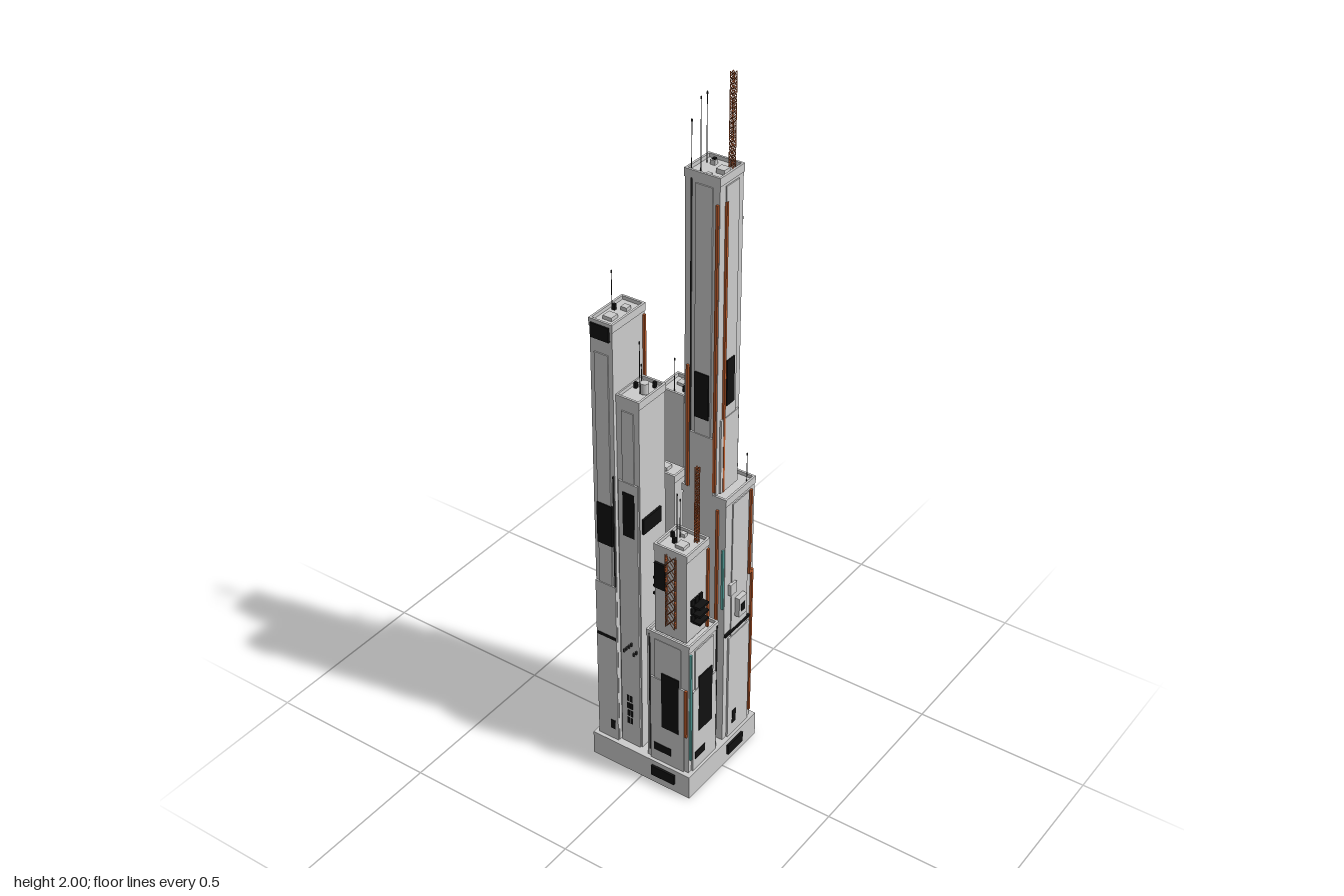
import * as THREE from 'three';
import { mergeGeometries } from 'three/addons/utils/BufferGeometryUtils.js';

const mat = (color) => new THREE.MeshStandardMaterial({ color, flatShading: true });
const GREY = mat(0xcccccc), BLACK = mat(0x111111), DARK = mat(0x333333), ORANGE = mat(0xb8592a), TEAL = mat(0x5fb5ae);

// Footprints as [x0, x1, z0, z1] with bottom and top heights
const T = {
  base: { f: [-0.163, 0.157, -0.161, 0.159], y0: 0, y1: 0.075 },
  tallLower: { f: [0.011, 0.144, -0.147, -0.016], y0: 0.075, y1: 0.88 },
  tallUpper: { f: [0.015, 0.113, -0.114, -0.017], y0: 0.88, y1: 1.77 },
  backLower: { f: [-0.15, -0.015, -0.147, -0.016], y0: 0.075, y1: 0.89 },
  backUpper: { f: [-0.094, -0.018, -0.143, -0.06], y0: 0.89, y1: 1.11 },
  slimTall: { f: [-0.152, -0.085, 0.011, 0.143], y0: 0.075, y1: 1.39 },
  slimShort: { f: [-0.085, -0.016, 0.023, 0.132], y0: 0.075, y1: 1.19 },
  lowLower: { f: [0.011, 0.144, 0.013, 0.144], y0: 0.075, y1: 0.51 },
  lowUpper: { f: [0.031, 0.13, 0.038, 0.136], y0: 0.51, y1: 0.79 },
};

export function createModel() {
  const city = new THREE.Group();
  city.name = 'towerCluster';

  const add = (name, geo, m) => {
    const mesh = new THREE.Mesh(geo, m);
    mesh.name = name;
    city.add(mesh);
    return mesh;
  };
  const boxGeo = (x0, x1, y0, y1, z0, z1) =>
    new THREE.BoxGeometry(x1 - x0, y1 - y0, z1 - z0).translate((x0 + x1) / 2, (y0 + y1) / 2, (z0 + z1) / 2);
  const box = (name, m, ...b) => add(name, boxGeo(...b), m);

  // Bar between two points
  const bar = (a, b, r) => {
    const d = b.clone().sub(a);
    const g = new THREE.CylinderGeometry(r, r, d.length(), 4);
    g.applyQuaternion(new THREE.Quaternion().setFromUnitVectors(new THREE.Vector3(0, 1, 0), d.normalize()));
    return g.translate((a.x + b.x) / 2, (a.y + b.y) / 2, (a.z + b.z) / 2);
  };

  // Box lying on a wall: u is x on the front and back, z on the sides
  const onWall = (name, t, side, u0, u1, y0, y1, depth, m, off = 0) => {
    const [x0, x1, z0, z1] = T[t].f;
    const s = -0.002;
    if (side === 'front') return box(name, m, u0, u1, y0, y1, z1 + off + s, z1 + off + depth);
    if (side === 'back') return box(name, m, u0, u1, y0, y1, z0 - off - depth, z0 - off - s);
    if (side === 'right') return box(name, m, x1 + off + s, x1 + off + depth, y0, y1, u0, u1);
    return box(name, m, x0 - off - depth, x0 - off - s, y0, y1, u0, u1);
  };

  // Square lattice with four legs and crossed braces
  const lattice = (name, x, z, y0, y1, w, d = w) => {
    const parts = [], n = Math.round((y1 - y0) / (w * 1.1)), h = (y1 - y0) / n;
    const c = [[-1, -1], [1, -1], [1, 1], [-1, 1]].map(([i, k]) => [x + i * w / 2, z + k * d / 2]);
    const P = (i, y) => new THREE.Vector3(c[i % 4][0], y, c[i % 4][1]);
    for (let i = 0; i < 4; i++) {
      parts.push(bar(P(i, y0), P(i, y1), 0.0011));
      for (let j = 0; j < n; j++) {
        const a = y0 + j * h;
        parts.push(bar(P(i, a), P(i + 1, a + h), 0.0008), bar(P(i + 1, a), P(i, a + h), 0.0008));
      }
    }
    add(name, mergeGeometries(parts), ORANGE);
  };

  // Tower bodies with raised roof rims
  for (const [name, { f: [x0, x1, z0, z1], y0, y1 }] of Object.entries(T)) {
    box(name + 'Body', GREY, x0, x1, y0, name === 'base' ? y1 : y1 - 0.01, z0, z1);
    if (name === 'base') continue;
    const o = 0.002, w = 0.004;
    add(name + 'RoofRim', mergeGeometries([
      boxGeo(x0 - o, x1 + o, y1 - 0.022, y1, z0 - o, z0 + w), boxGeo(x0 - o, x1 + o, y1 - 0.022, y1, z1 - w, z1 + o),
      boxGeo(x0 - o, x0 + w, y1 - 0.022, y1, z0 + w, z1 - w), boxGeo(x1 - w, x1 + o, y1 - 0.022, y1, z0 + w, z1 - w),
    ]), GREY);
  }

  // Stepped wall plates: wide foot, narrower shaft above
  const plates = [
    ['tallLower', 'right', -0.125, -0.04, 0.42, 0.85], ['tallLower', 'back', 0.035, 0.12, 0.4, 0.85],
    ['backLower', 'left', -0.125, -0.04, 0.42, 0.85], ['backLower', 'back', -0.13, -0.035, 0.45, 0.86],
    ['lowLower', 'right', 0.03, 0.125, 0.35, 0.48], ['lowLower', 'front', 0.03, 0.125, 0.36, 0.49],
    ['slimTall', 'left', 0.03, 0.12, 0.58, 1.33], ['slimTall', 'front', -0.145, -0.092, 0.6, 1.3],
    ['slimShort', 'front', -0.074, -0.026, 0.94, 1.15], ['tallUpper', 'front', 0.04, 0.1, 1.05, 1.74],
    ['tallUpper', 'right', -0.1, -0.035, 1.1, 1.74], ['tallUpper', 'left', -0.1, -0.03, 1.1, 1.74],
  ];
  for (const [t, side, a, b, mid, top] of plates) {
    onWall('wallPlateFoot', t, side, a - 0.006, b + 0.006, T[t].y0, mid, 0.005, GREY);
    onWall('wallPlateShaft', t, side, a + 0.006, b - 0.006, mid, top, 0.003, GREY);
  }

  // Black window panels and signs
  const panels = [
    ['base', 'front', 0.035, 0.11, 0.028, 0.06], ['base', 'right', -0.09, -0.02, 0.028, 0.06],
    ['base', 'back', -0.07, 0.0, 0.028, 0.06], ['base', 'left', 0.0, 0.07, 0.028, 0.06],
    ['slimTall', 'front', -0.147, -0.092, 1.34, 1.38], ['slimTall', 'front', -0.14, -0.093, 0.73, 0.855],
    ['slimTall', 'front', -0.147, -0.088, 0.423, 0.432], ['slimTall', 'front', -0.11, -0.095, 0.11, 0.14],
    ['slimShort', 'front', -0.066, -0.03, 0.775, 0.91], ['slimShort', 'right', 0.048, 0.125, 0.79, 0.835],
    ['tallUpper', 'front', 0.048, 0.09, 1.1, 1.23], ['tallUpper', 'right', -0.082, -0.05, 1.135, 1.265],
    ['tallUpper', 'back', 0.02, 0.045, 1.36, 1.46], ['tallUpper', 'left', -0.1, -0.05, 1.08, 1.27],
    ['tallUpper', 'back', 0.02, 0.11, 1.62, 1.628], ['tallLower', 'right', -0.13, -0.016, 0.435, 0.443],
    ['tallLower', 'right', -0.072, -0.055, 0.11, 0.155], ['tallLower', 'back', 0.06, 0.11, 0.3, 0.48],
    ['tallLower', 'back', 0.06, 0.1, 0.11, 0.135], ['backLower', 'left', -0.1, -0.06, 0.36, 0.54],
    ['backLower', 'left', -0.1, -0.06, 0.11, 0.135], ['backLower', 'back', -0.1, -0.055, 0.62, 0.72],
    ['backUpper', 'right', -0.135, -0.108, 0.97, 1.03], ['backUpper', 'left', -0.13, -0.075, 0.96, 1.06],
    ['lowUpper', 'front', 0.033, 0.067, 0.655, 0.735], ['lowLower', 'front', 0.06, 0.115, 0.2, 0.385],
    ['lowLower', 'front', 0.035, 0.09, 0.11, 0.135], ['lowLower', 'right', 0.045, 0.105, 0.2, 0.385],
    ['lowLower', 'right', 0.075, 0.12, 0.11, 0.135],
  ];
  for (const [t, s, a, b, y0, y1] of panels) onWall('windowPanel', t, s, a, b, y0, y1, 0.0065, BLACK);
  for (let i = 0; i < 4; i++)
    for (const u of [-0.062, -0.052])
      onWall('smallWindow', 'slimShort', 'front', u, u + 0.008, 0.145 + i * 0.026, 0.165 + i * 0.026, 0.006, BLACK);
  for (let i = 0; i < 3; i++)
    for (let j = 0; j < 3; j++)
      onWall('ventGrille', 'lowUpper', 'right', 0.07 + j * 0.018, 0.083 + j * 0.018, 0.57 + i * 0.025, 0.588 + i * 0.025, 0.005, BLACK);

  // Wall pipes, with a sideways jog where a middle height is given
  const pipes = [
    ['tallLower', 'back', 0.02, 0.1, 0.86, 0.5], ['tallLower', 'back', 0.135, 0.09, 0.87, 0.62], ['backLower', 'left', -0.03, 0.1, 0.85, 0.45],
    ['backLower', 'back', -0.025, 0.1, 0.84, 0.55], ['slimTall', 'left', 0.016, 0.1, 1.36], ['slimTall', 'left', 0.128, 0.3, 1.36],
    ['slimTall', 'right', 0.016, 0.9, 1.36], ['slimTall', 'back', -0.146, 0.3, 1.3], ['tallUpper', 'front', 0.026, 0.88, 1.24],
    ['tallUpper', 'front', 0.108, 0.89, 1.7], ['tallUpper', 'right', -0.042, 0.88, 1.7], ['tallLower', 'front', 0.12, 0.15, 0.84],
    ['lowLower', 'front', 0.137, 0.2, 0.36], ['lowUpper', 'back', 0.1, 0.51, 0.77], ['lowUpper', 'right', 0.045, 0.51, 0.76],
    ['tallLower', 'right', -0.14, 0.1, 0.85, 0.58],
  ];
  for (const [t, s, u, y0, y1, mid] of pipes) {
    const w = 0.0035, jog = mid ? 0.012 * Math.sign((s === 'left' || s === 'right' ? -0.08 : T[t].f[0] + 0.067) - u) : 0;
    const m = mid || y1;
    onWall('pipe', t, s, u - w, u + w, y0, m, 0.006, ORANGE);
    if (!mid) continue;
    onWall('pipe', t, s, Math.min(u, u + jog) - w, Math.max(u, u + jog) + w, m, m + 0.008, 0.006, ORANGE);
    onWall('pipe', t, s, u + jog - w, u + jog + w, m + 0.008, y1, 0.006, ORANGE);
  }
  onWall('tealPipe', 'tallLower', 'front', 0.136, 0.142, 0.53, 0.72, 0.006, TEAL);
  onWall('tealPipe', 'lowLower', 'right', 0.136, 0.142, 0.12, 0.48, 0.006, TEAL);
  box('crossDuct', ORANGE, -0.045, 0.015, 0.56, 0.575, -0.156, -0.145);
  // Thin dark cables running up the walls
  for (const [t, s, u, y0, y1] of [['tallUpper', 'front', 0.034, 0.9, 1.75], ['slimShort', 'front', -0.022, 0.1, 0.94],
    ['slimTall', 'front', -0.089, 0.1, 0.95], ['backLower', 'left', -0.13, 0.1, 0.85], ['lowLower', 'front', 0.02, 0.1, 0.5],
    ['tallUpper', 'left', -0.024, 0.9, 1.74], ['lowLower', 'right', 0.02, 0.1, 0.5]])
    onWall('cable', t, s, u - 0.001, u + 0.001, y0, y1, 0.004, DARK);

  // Balconies and machine boxes hung on the walls
  onWall('equipmentPod', 'tallLower', 'right', -0.098, -0.062, 0.48, 0.54, 0.017, GREY);
  onWall('podWindow', 'tallLower', 'right', -0.088, -0.07, 0.495, 0.52, 0.018, BLACK);
  onWall('equipmentPod', 'tallLower', 'right', -0.06, -0.033, 0.565, 0.6, 0.009, GREY);
  for (const y of [0.56, 0.585, 0.61]) onWall('balcony', 'lowUpper', 'right', 0.07, 0.11, y, y + 0.007, 0.024, BLACK);
  for (const y of [0.6, 0.625, 0.65]) onWall('balcony', 'lowUpper', 'left', 0.07, 0.11, y, y + 0.007, 0.024, BLACK);
  for (let i = 0; i < 6; i++)
    onWall('wallFitting', 'slimShort', 'front', -0.07 + i * 0.008, -0.066 + i * 0.008, 0.39 + (i * 5 % 4) * 0.01, 0.4 + (i * 5 % 4) * 0.01, 0.01, DARK);

  // Lattice masts on roofs and lattice trusses on walls
  lattice('tallMast', 0.093, -0.095, 1.76, 2.0, 0.011);
  lattice('backMast', -0.035, -0.125, 1.1, 1.32, 0.009);
  lattice('lowMast', 0.108, 0.06, 0.78, 1.01, 0.009);
  lattice('wallTruss', 0.07, -0.121, 0.88, 1.7, 0.028, 0.01);
  lattice('wallTruss', 0.084, 0.141, 0.545, 0.775, 0.028, 0.008);

  // Roof machinery: [tower, x, z, size, height]
  const roof = [
    ['tallUpper', 0.09, -0.062, 0.024, 0.012], ['tallUpper', 0.048, -0.086, 0.014, 0.012], ['tallUpper', 0.072, -0.03, 0.012, 0.006],
    ['tallLower', 0.075, -0.124, 0.018, 0.01], ['backUpper', -0.06, -0.115, 0.02, 0.008], ['backLower', -0.062, -0.045, 0.022, 0.01],
    ['backLower', -0.125, -0.09, 0.016, 0.01], ['slimTall', -0.118, 0.105, 0.026, 0.01], ['slimTall', -0.112, 0.05, 0.018, 0.01],
    ['slimShort', -0.06, 0.053, 0.016, 0.014], ['lowUpper', 0.09, 0.098, 0.026, 0.01], ['lowUpper', 0.066, 0.058, 0.014, 0.01],
    ['lowLower', 0.045, 0.027, 0.014, 0.01],
  ];
  for (const [t, x, z, s, h] of roof) {
    const y = T[t].y1 - 0.01;
    box('roofUnit', GREY, x - s / 2, x + s / 2, y, y + h, z - s / 2, z + s / 2);
  }
  for (const [t, x, z] of [['tallUpper', 0.049, -0.087], ['backUpper', -0.035, -0.09], ['slimTall', -0.135, 0.066],
    ['slimShort', -0.035, 0.04], ['slimShort', -0.072, 0.068], ['lowUpper', 0.045, 0.077], ['lowUpper', 0.063, 0.095]])
    box('roofVent', BLACK, x - 0.004, x + 0.004, T[t].y1 - 0.01, T[t].y1 + 0.006, z - 0.004, z + 0.004);
  add('waterTank', new THREE.CylinderGeometry(0.011, 0.011, 0.03, 16).translate(-0.035, 1.2, 0.081), GREY);

  // Thin antennas: [x, z, bottom, top]
  for (const [x, z, y0, y1] of [[0.03, -0.083, 1.76, 1.94], [0.046, -0.035, 1.76, 1.95], [0.024, -0.03, 1.76, 1.89],
    [-0.139, 0.07, 1.38, 1.49], [-0.06, 0.06, 1.18, 1.25], [-0.047, 0.085, 1.18, 1.33], [-0.056, -0.075, 1.1, 1.2],
    [0.062, 0.068, 0.78, 0.9], [0.075, 0.1, 0.78, 0.94], [0.134, -0.125, 0.87, 0.96]])
    add('antenna', mergeGeometries([
      new THREE.CylinderGeometry(0.0008, 0.0013, y1 - y0, 5).translate(x, (y0 + y1) / 2, z),
      new THREE.CylinderGeometry(0.002, 0.002, 0.006, 5).translate(x, y1 - 0.005, z),
    ]), DARK);

  return city;
}
